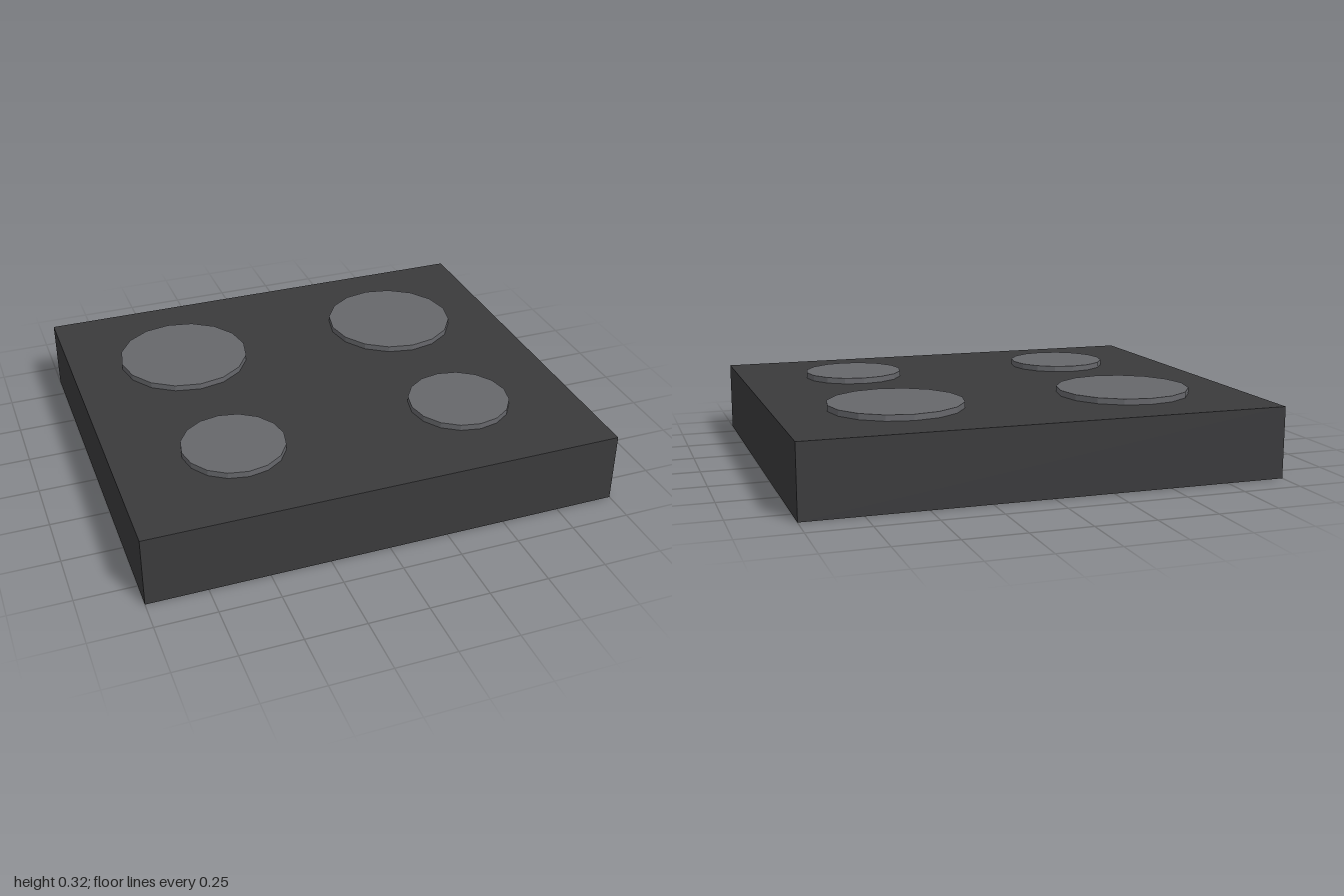
import * as THREE from 'three';

const BODY = { width: 2, height: 0.3, depth: 1.73 };
const PLATE_HEIGHT = 0.025;
const SINK = 0.01; // plates reach slightly into the body

export function createModel() {
  const model = new THREE.Group();
  model.name = 'cooktop';

  const bodyMaterial = new THREE.MeshStandardMaterial({ color: 0x3a3a3c });
  const plateMaterial = new THREE.MeshStandardMaterial({ color: 0x66676b, flatShading: true });

  // Slab body
  const body = new THREE.Mesh(new THREE.BoxGeometry(BODY.width, BODY.height, BODY.depth), bodyMaterial);
  body.name = 'body';
  body.position.y = BODY.height / 2;
  model.add(body);

  // Two rows of hot plates: large at the back, small at the front
  const rows = [
    { name: 'back', radius: 0.282, z: -0.37 },
    { name: 'front', radius: 0.215, z: 0.398 },
  ];
  for (const { name, radius, z } of rows) {
    const geometry = new THREE.CylinderGeometry(radius, radius, PLATE_HEIGHT + SINK, 16);
    for (const side of [-1, 1]) {
      const plate = new THREE.Mesh(geometry, plateMaterial);
      plate.name = `${name}${side > 0 ? 'Left' : 'Right'}Plate`;
      plate.position.set(side * 0.5, BODY.height + (PLATE_HEIGHT - SINK) / 2, z);
      model.add(plate);
    }
  }

  return model;
}
